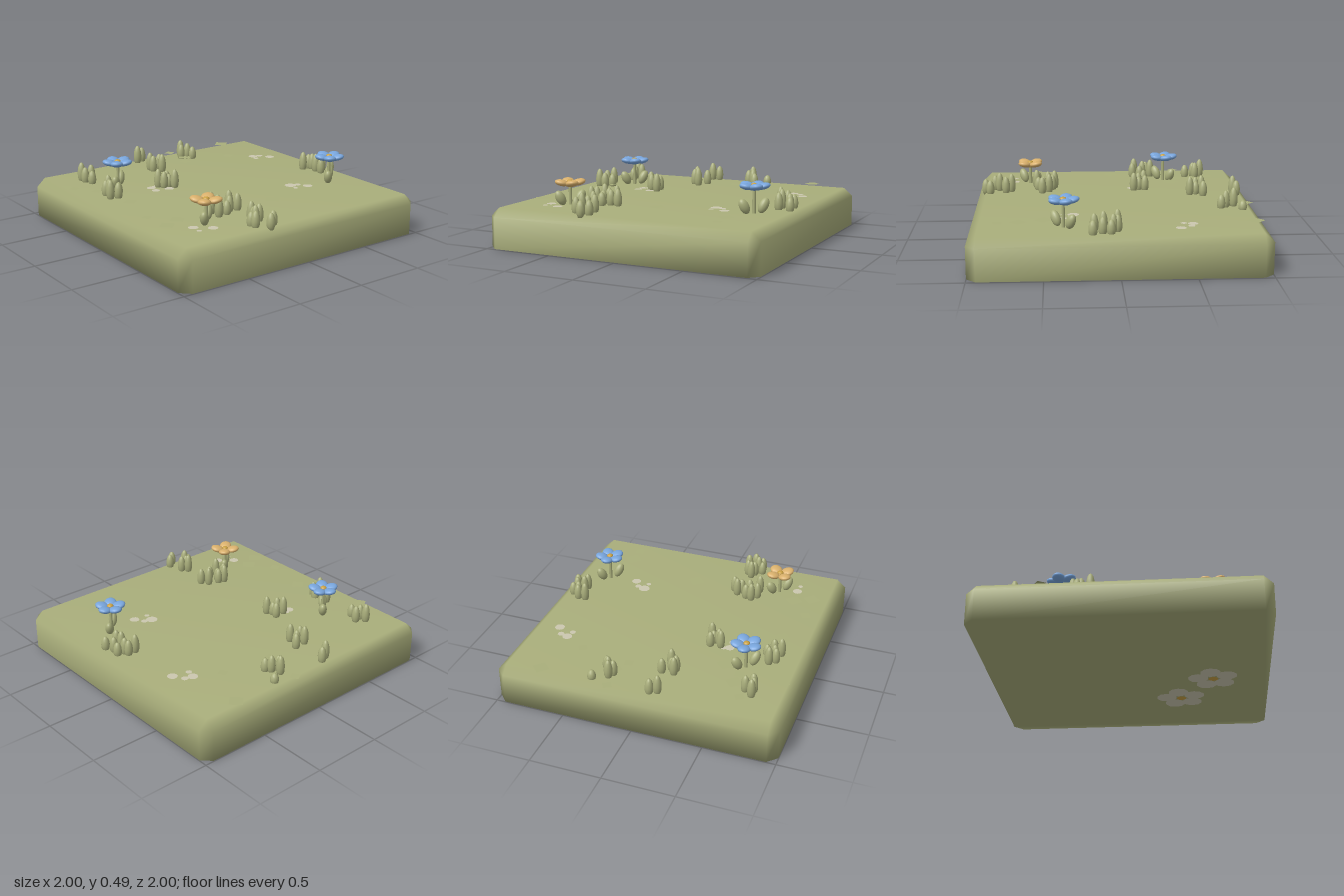
import * as THREE from 'three';
import { mergeVertices } from 'three/addons/utils/BufferGeometryUtils.js';

const mat = (name, color, side = THREE.FrontSide) => {
  const m = new THREE.MeshStandardMaterial({ color, side });
  m.name = name;
  return m;
};

// Block with cut corners and a bevelled top edge, shaded smoothly
function blockGeometry() {
  const b = 0.935;
  const outer = [[b, 1], [1, b], [1, -b], [b, -1], [-b, -1], [-1, -b], [-1, b], [-b, 1]];
  const inner = outer.map(([x, z]) => [Math.sign(x) * b, Math.sign(z) * b]);
  const pos = [], idx = [];
  [[outer, 0], [outer, 0.22], [inner, 0.28]].forEach(([ring, y]) =>
    ring.forEach(([x, z]) => pos.push(x, y, z)));
  for (let r = 0; r < 2; r++) {
    for (let i = 0; i < 8; i++) {
      const a = r * 8 + i, c = r * 8 + (i + 1) % 8;
      idx.push(a, c, c + 8, a, c + 8, a + 8);
    }
  }
  for (let i = 1; i < 7; i++) {
    idx.push(0, i + 1, i);
    idx.push(16, 16 + i, 17 + i);
  }
  let g = new THREE.BufferGeometry();
  g.setAttribute('position', new THREE.Float32BufferAttribute(pos, 3));
  g.setIndex(idx);
  g = mergeVertices(g);
  g.computeVertexNormals();
  return g;
}

export function createModel() {
  const model = new THREE.Group();
  const grass = mat('grass green', 0xa9ae7b);
  const leafMat = mat('grass green flat', 0xa9ae7b, THREE.DoubleSide);
  const blue = mat('petal blue', 0x78a5dc);
  const tan = mat('petal tan', 0xd9b06c);
  const gold = mat('flower centre gold', 0xc9a042);
  const pale = mat('pale cream', 0xcbc7af, THREE.DoubleSide);

  const add = (parent, name, geo, material, x, y, z) => {
    const m = new THREE.Mesh(geo, material);
    m.name = name;
    m.position.set(x, y, z);
    parent.add(m);
    return m;
  };
  const group = (name) => {
    const g = new THREE.Group();
    g.name = name;
    model.add(g);
    return g;
  };
  const ball = new THREE.SphereGeometry(1, 16, 12);

  add(model, 'groundBlock', blockGeometry(), grass, 0, 0, 0);

  // Grass tufts: x, z of each blade
  const tufts = [
    [[-0.15, -0.89], [-0.1, -0.91]],
    [[0.22, -0.84], [0.2, -0.8], [0.245, -0.78], [0.27, -0.745]],
    [[-0.74, -0.72], [-0.74, -0.665], [-0.685, -0.675], [-0.72, -0.6]],
    [[-0.18, -0.66], [-0.095, -0.665], [-0.18, -0.615], [-0.15, -0.615], [-0.13, -0.57]],
    [[-0.745, -0.325], [-0.785, -0.29], [-0.77, -0.265], [-0.71, -0.24], [-0.8, -0.2], [-0.745, -0.185]],
    [[-0.375, -0.245], [-0.3, -0.25], [-0.35, -0.205], [-0.31, -0.205], [-0.285, -0.165]],
    [[0.775, 0.015], [0.83, 0.015], [0.84, 0.045], [0.89, 0.06], [0.82, 0.11], [0.88, 0.115], [0.82, 0.17], [0.905, 0.18]],
    [[-0.39, 0.43], [-0.345, 0.445], [-0.425, 0.48], [-0.37, 0.485], [-0.27, 0.47], [-0.295, 0.51], [-0.235, 0.52], [-0.345, 0.55], [-0.42, 0.565]],
    [[-0.295, 0.75], [-0.31, 0.795], [-0.26, 0.79], [-0.36, 0.835], [-0.33, 0.84], [-0.355, 0.875], [-0.28, 0.94], [-0.235, 0.905]],
  ];
  // Bullet-shaped blade, fattest low down
  const blade = new THREE.LatheGeometry([[0, 0], [0.018, 0.008], [0.028, 0.04], [0.03, 0.07],
    [0.027, 0.1], [0.02, 0.125], [0.011, 0.14], [0, 0.146]].map(([r, y]) => new THREE.Vector2(r, y)), 12);
  tufts.forEach((t) => {
    const g = group('grassTuft');
    t.forEach(([x, z], i) => {
      const top = z > 0.9 ? 0.38 : 0.4 + [0.015, -0.01, 0, -0.025][i % 4];
      add(g, 'grassBlade', blade, grass, x, 0.257, z).scale.y = (top - 0.257) / 0.146;
    });
  });
  add(model, 'shortGrassBlade', blade, grass, 0.32, 0.257, -0.89).scale.y = 0.6;

  // Loose flat leaves: x, z, side, turn in degrees
  const scatter = group('scatteredLeaves');
  const L = 0.09, S = 0.06;
  [[0.68, -0.92, L, 45], [0.185, -0.945, S, 30], [0.21, -0.76, L, 45], [0.145, -0.66, S, 10],
    [0.515, -0.6, S, 30], [-0.675, -0.77, S, 30], [-0.595, -0.635, L, 40], [-0.6, -0.53, S, 5],
    [-0.48, -0.46, L, 45], [-0.91, -0.52, S, 30], [-0.81, -0.37, S, 30], [-0.69, -0.24, L, 45],
    [-0.755, -0.01, 0.08, 40], [-0.09, -0.1, 0.085, 40], [-0.01, -0.09, S, 30], [-0.835, 0.33, S, 30],
    [-0.825, 0.555, L, 45], [-0.705, 0.495, L, 45], [0.07, 0.52, L, 45], [0.605, 0.505, L, 45],
    [0.55, 0.505, S, 30], [0.65, 0.67, L, 45], [0.65, 0.81, S, 5],
  ].forEach(([x, z, s, deg]) => {
    const g = new THREE.PlaneGeometry(s, s).rotateX(-Math.PI / 2);
    add(scatter, 'flatLeaf', g, leafMat, x, s > 0.07 ? 0.298 : 0.293, z).rotation.y = deg * Math.PI / 180;
  });

  // Pale blotches lying on the ground: x, z, radius
  const spots = group('paleSpots');
  const disc = new THREE.CircleGeometry(1, 10).rotateX(-Math.PI / 2);
  [[0.685, -0.495, 0.036], [0.74, -0.48, 0.025], [0.67, -0.435, 0.022], [0.785, -0.405, 0.036],
    [-0.44, -0.24, 0.033], [-0.4, -0.255, 0.02], [-0.445, -0.17, 0.03], [-0.34, -0.155, 0.036],
    [0.415, 0.3, 0.042], [0.47, 0.315, 0.024], [0.405, 0.37, 0.018], [0.51, 0.38, 0.035],
    [-0.69, 0.655, 0.035], [-0.59, 0.735, 0.035], [-0.695, 0.73, 0.018],
  ].forEach(([x, z, r]) => add(spots, 'paleSpot', disc, pale, x, 0.283, z).scale.set(r, 1, r));

  // Flat blossoms on the underside
  [[0.42, 0.36], [0.07, 0.6]].forEach(([x, z]) => {
    const g = group('undersideBlossom');
    for (let i = 0; i < 5; i++) {
      const a = i * Math.PI * 0.4 + 0.8;
      add(g, 'flatPetal', disc, pale, x + 0.11 * Math.cos(a), -0.001 - i * 0.0002, z + 0.11 * Math.sin(a))
        .scale.set(0.075, 1, 0.075);
    }
    const c = new THREE.CircleGeometry(0.035, 12).rotateX(Math.PI / 2);
    add(g, 'flatCentre', c, gold, x, -0.003, z);
  });

  // Standing flowers
  function flower(x, z, top, count, start, petalMat) {
    const f = group('flower');
    f.position.set(x, 0, z);
    add(f, 'stem', new THREE.CylinderGeometry(0.011, 0.013, top - 0.26, 10), grass, 0, (top + 0.26) / 2, 0);
    for (let i = 0; i < count; i++) {
      const arm = new THREE.Group();
      arm.name = 'petalArm';
      arm.rotation.y = start + i * 2 * Math.PI / count;
      arm.position.y = top;
      const p = add(arm, 'petal', ball, petalMat, 0.06, 0.008, 0);
      p.scale.set(0.05, 0.023, 0.045);
      p.rotation.z = 0.22;
      f.add(arm);
    }
    add(f, 'flowerHeart', ball, petalMat, 0, top - 0.004, 0).scale.set(0.045, 0.02, 0.045);
    add(f, 'flowerCentre', ball, gold, 0, top + 0.014, 0).scale.set(0.023, 0.015, 0.023);
    // Pair of leaves set on the diagonal
    for (const s of [-1, 1]) {
      const arm = new THREE.Group();
      arm.name = 'leafArm';
      arm.rotation.y = Math.PI / 4;
      const leaf = add(arm, 'leaf', ball, grass, s * 0.07, 0.33, 0);
      leaf.scale.set(0.034, 0.056, 0.03);
      leaf.rotation.z = -s * 0.5;
      f.add(arm);
    }
  }
  flower(-0.61, -0.415, 0.457, 5, Math.PI / 2, blue);
  flower(0.72, 0.37, 0.457, 5, Math.PI / 2, blue);
  flower(-0.56, 0.615, 0.428, 4, Math.PI / 4, tan);

  return model;
}
